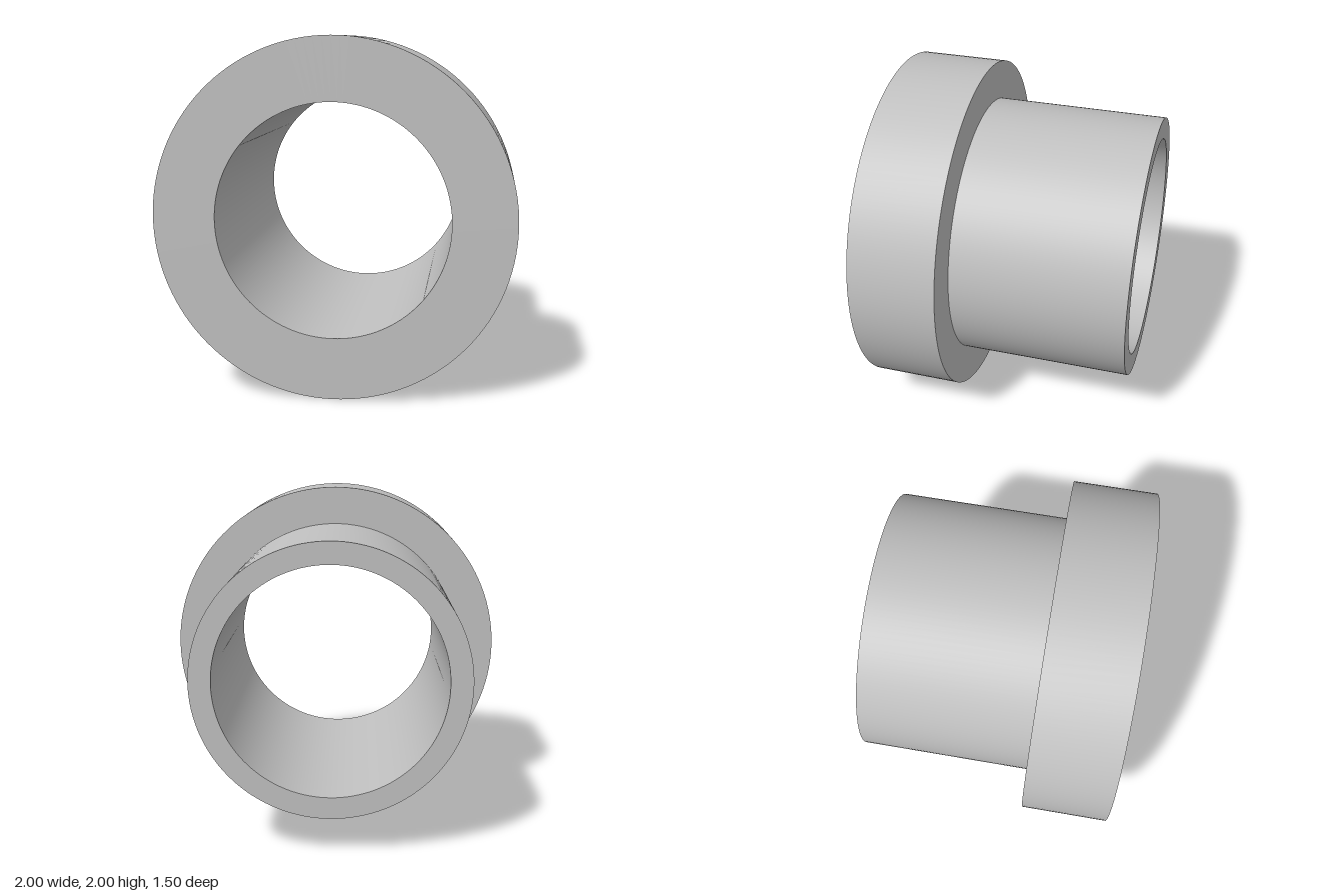
import * as THREE from 'three';
import { toCreasedNormals } from 'three/addons/utils/BufferGeometryUtils.js';

const BORE = 0.65, SLEEVE = 0.775, FLANGE = 1;
const BACK = -0.75, STEP = 0.25, FRONT = 0.75;

export function createModel() {
  const group = new THREE.Group();
  group.name = 'flangedBushing';
  const grey = new THREE.MeshStandardMaterial({ color: 0xc0c0c0 });
  grey.name = 'plain grey';

  // Closed wall section (radius, axial position), turned about the axis
  const section = [
    [BORE, BACK], [SLEEVE, BACK], [SLEEVE, STEP],
    [FLANGE, STEP], [FLANGE, FRONT], [BORE, FRONT], [BORE, BACK],
  ].map(([r, z]) => new THREE.Vector2(r, z));

  // Axis laid along z, crisp rims kept between smooth round walls
  const geometry = toCreasedNormals(new THREE.LatheGeometry(section, 128), 0.5);
  geometry.rotateX(Math.PI / 2);

  const bushing = new THREE.Mesh(geometry, grey);
  bushing.name = 'flangedSleeve';
  bushing.position.y = FLANGE;
  group.add(bushing);
  return group;
}
